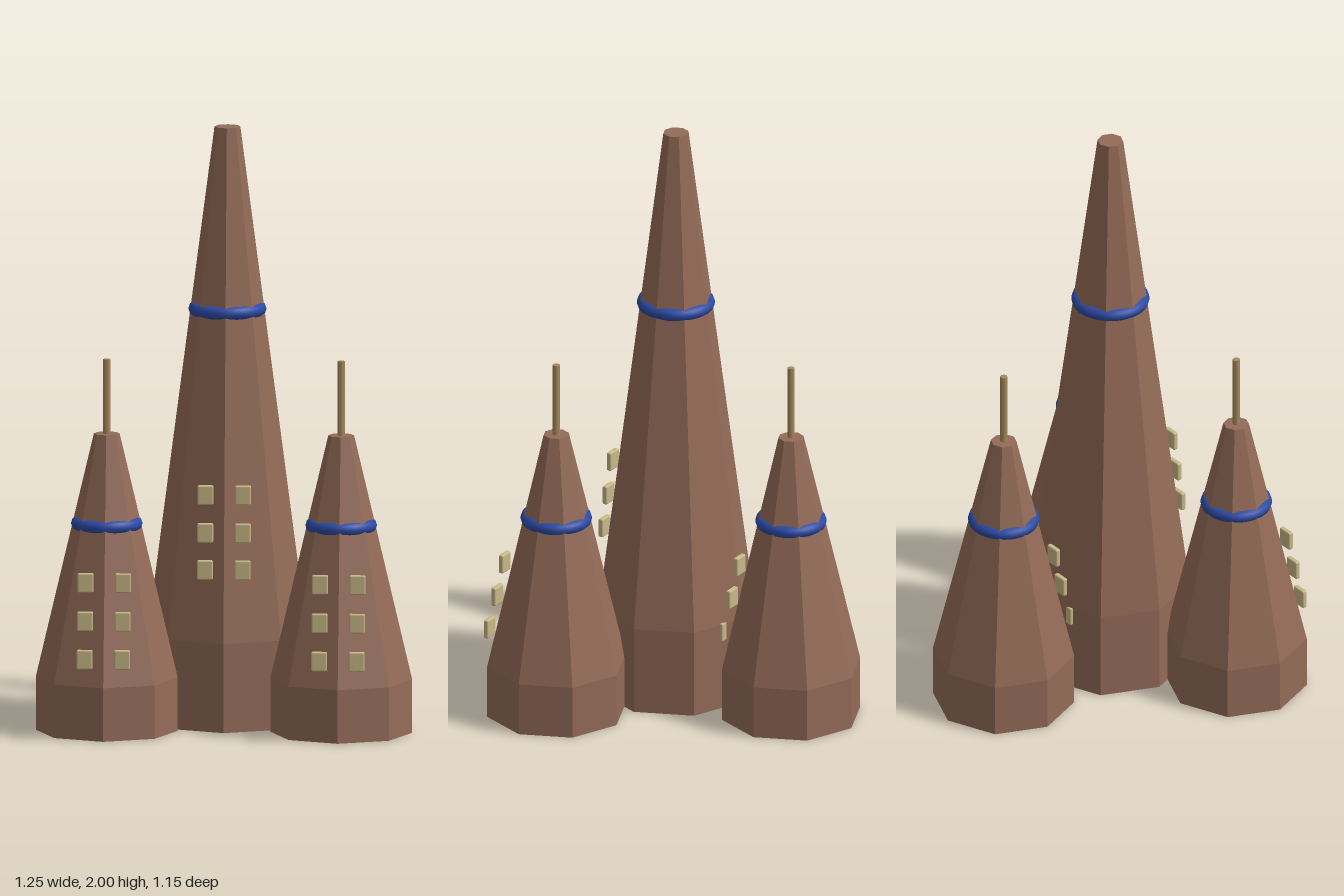
import * as THREE from 'three';
import { RoundedBoxGeometry } from 'three/addons/geometries/RoundedBoxGeometry.js';

const stone = new THREE.MeshStandardMaterial({ color: 0x946b58, flatShading: true });
stone.name = 'brown stone';
const blue = new THREE.MeshStandardMaterial({ color: 0x2c4aa6 });
blue.name = 'blue band';
const cream = new THREE.MeshStandardMaterial({ color: 0xc8b987 });
cream.name = 'cream window';
const brass = new THREE.MeshStandardMaterial({ color: 0xa5895a });
brass.name = 'brass mast';

const TOP_RADIUS = 0.043;

function addMesh(parent, name, geometry, material, x = 0, y = 0, z = 0) {
  const mesh = new THREE.Mesh(geometry, material);
  mesh.name = name;
  mesh.position.set(x, y, z);
  parent.add(mesh);
  return mesh;
}

// Eight-sided tower: short upright foot, long taper, band, windows, optional mast
function createTower({ name, x, z, radius, foot, height, bandY, bandRadius, windowYs, mast }) {
  const tower = new THREE.Group();
  tower.name = name;
  tower.position.set(x, 0, z);

  const profile = [[0, 0], [radius, 0], [radius, foot], [TOP_RADIUS, height], [0, height]]
    .map(([r, y]) => new THREE.Vector2(r, y));
  addMesh(tower, 'towerBody', new THREE.LatheGeometry(profile, 8), stone);

  const band = addMesh(tower, 'band', new THREE.TorusGeometry(bandRadius, 0.023, 10, 40), blue, 0, bandY, 0);
  band.rotation.x = Math.PI / 2;

  // Windows step back with the taper
  const pane = new RoundedBoxGeometry(0.053, 0.065, 0.018, 2, 0.005);
  for (const y of windowYs) {
    const r = THREE.MathUtils.mapLinear(y, foot, height, radius, TOP_RADIUS);
    for (const side of [-1, 1]) addMesh(tower, 'window', pane, cream, side * 0.0625, y, r + 0.007);
  }

  if (mast) addMesh(tower, 'mast', new THREE.CylinderGeometry(0.0125, 0.0125, 0.25, 8), brass, 0, height + 0.125, 0);
  return tower;
}

export function createModel() {
  const model = new THREE.Group();
  model.name = 'towerCluster';

  model.add(createTower({
    name: 'mainTower', x: 0, z: 0.111, radius: 0.265, foot: 0.3, height: 2,
    bandY: 1.387, bandRadius: 0.107, windowYs: [0.545, 0.667, 0.792], mast: false,
  }));

  // Three smaller towers around the main one
  const small = {
    radius: 0.236, foot: 0.18, height: 1, bandY: 0.698, bandRadius: 0.096,
    windowYs: [0.274, 0.398, 0.523], mast: true,
  };
  const spots = [['leftTower', 0.39, 0.337], ['rightTower', -0.39, 0.337], ['backTower', 0, -0.339]];
  for (const [name, x, z] of spots) model.add(createTower({ name, x, z, ...small }));

  return model;
}
